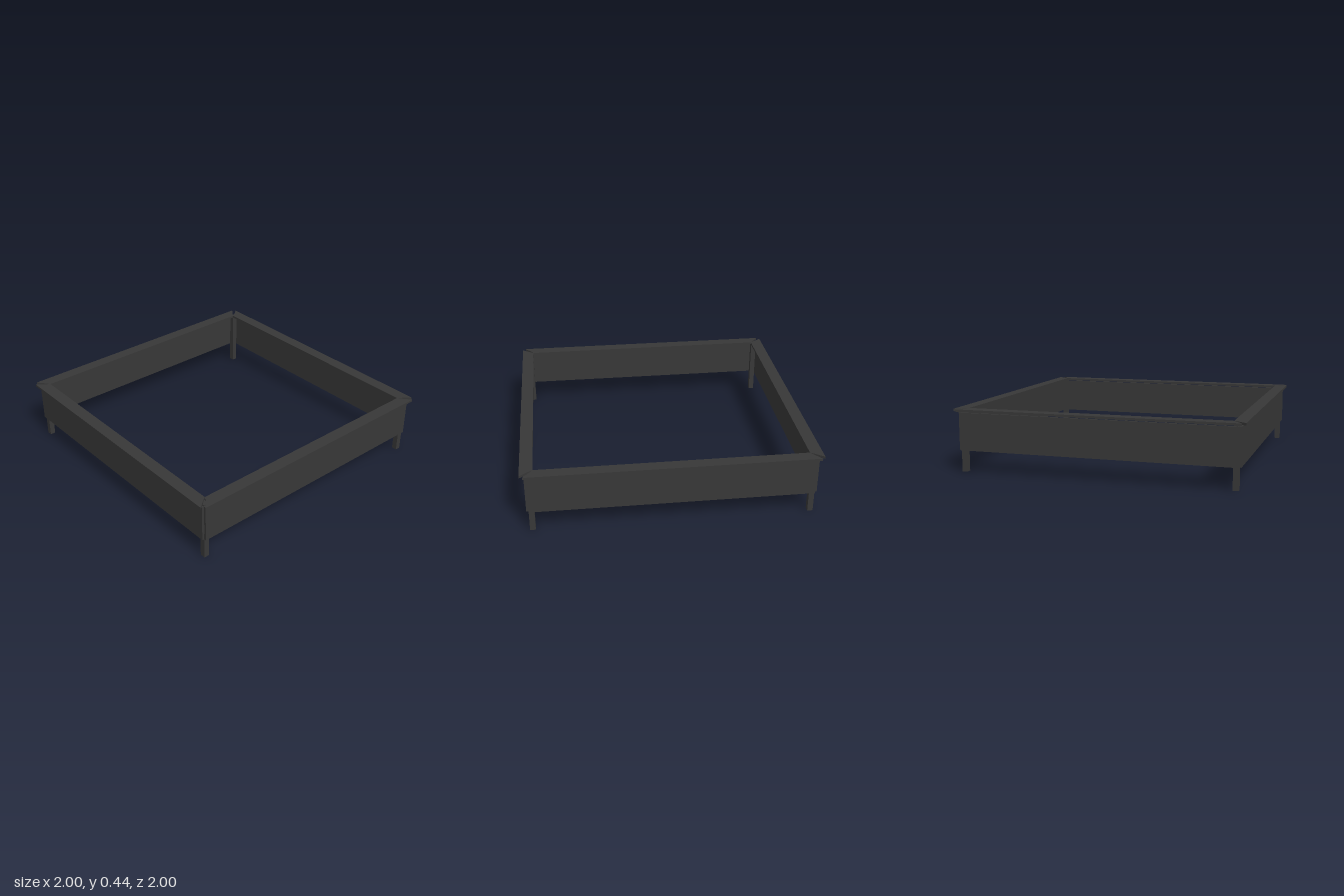
import * as THREE from 'three';

export function createModel() {
  const model = new THREE.Group();
  model.name = 'raisedBedFrame';
  const steel = new THREE.MeshStandardMaterial({ color: 0x383838 });
  steel.name = 'charcoal steel';

  const add = (parent, name, geometry, x, y, z) => {
    const mesh = new THREE.Mesh(geometry, steel);
    mesh.name = name;
    mesh.position.set(x, y, z);
    parent.add(mesh);
  };

  // Cap rail outline with mitred ends that leave an open wedge at each corner
  const outline = new THREE.Shape([
    [-0.978, -1], [0.978, -1], [0.925, -0.932], [0.913, -0.913],
    [-0.913, -0.913], [-0.925, -0.932],
  ].map(([x, y]) => new THREE.Vector2(x, y)));
  const capGeometry = new THREE.ExtrudeGeometry(outline, { depth: 0.016, bevelEnabled: false });
  capGeometry.rotateX(-Math.PI / 2); // outer edge now faces +z

  const panelGeometry = new THREE.BoxGeometry(1.912, 0.26, 0.015);
  const postGeometry = new THREE.BoxGeometry(0.038, 0.42, 0.038);

  // Four identical sides, each with a wall panel, cap rail and corner post
  ['front', 'left', 'back', 'right'].forEach((name, i) => {
    const side = new THREE.Group();
    side.name = name + 'Side';
    side.rotation.y = i * Math.PI / 2;
    add(side, 'wallPanel', panelGeometry, 0, 0.28, 0.9645);
    add(side, 'capRail', capGeometry, 0, 0.42, 0);
    add(side, 'cornerPost', postGeometry, 0.938, 0.21, 0.938);
    model.add(side);
  });

  return model;
}
